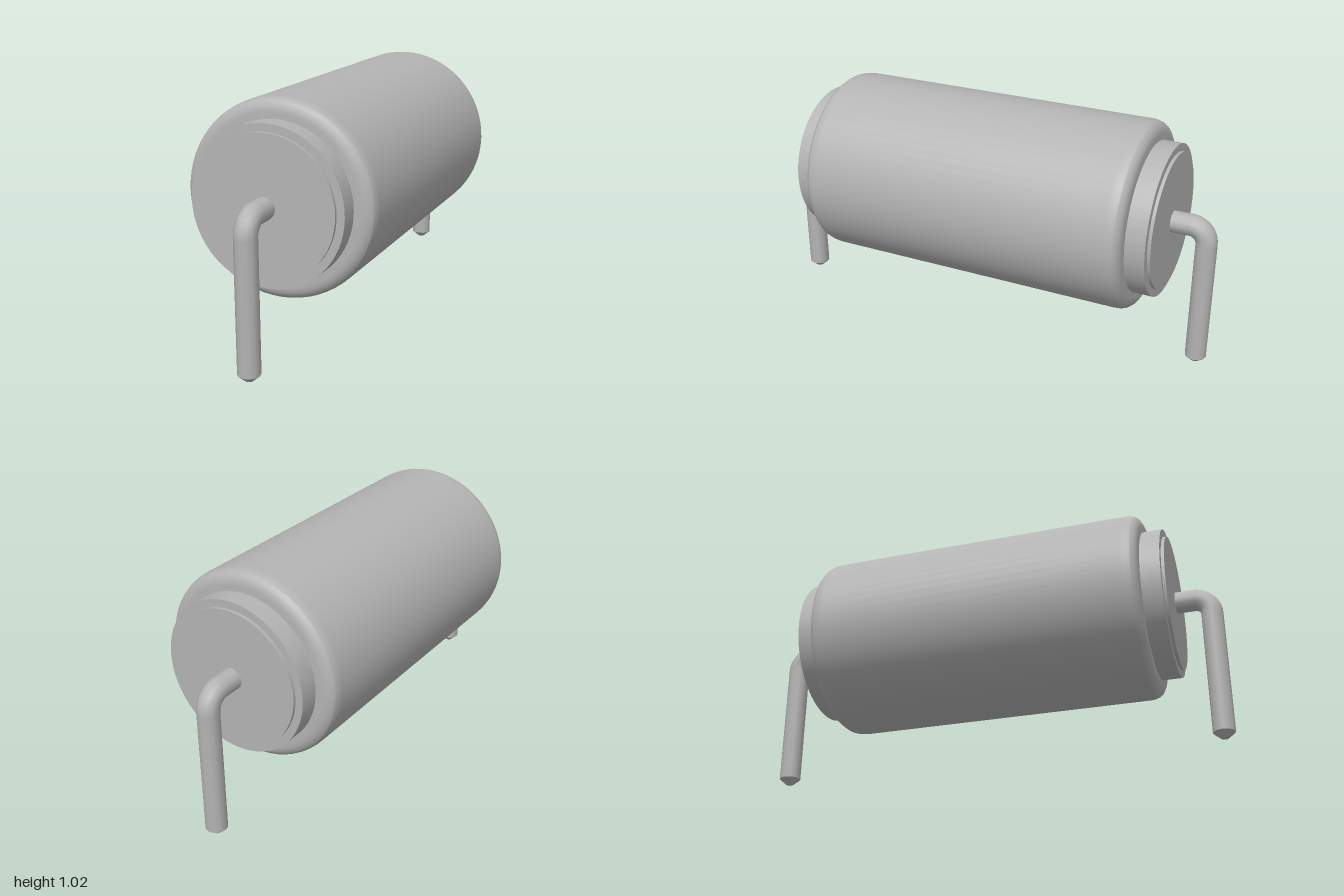
import * as THREE from 'three';

const AXIS_Y = 0.622;
const LEAD_R = 0.045;

export function createModel() {
  const model = new THREE.Group();
  model.name = 'axialComponent';
  const grey = new THREE.MeshStandardMaterial({ color: 0xb4b4b4 });
  grey.name = 'grey';

  const add = (parent, name, geometry) => {
    const mesh = new THREE.Mesh(geometry, grey);
    mesh.name = name;
    parent.add(mesh);
    return mesh;
  };

  // Surface of revolution along z, from [radius, z] pairs in rising z
  const turned = (profile) =>
    new THREE.LatheGeometry(profile.map(([r, z]) => new THREE.Vector2(r, z)), 64)
      .rotateX(Math.PI / 2)
      .translate(0, AXIS_Y, 0);

  // Solid disc along z between two depths
  const disc = (radius, z0, z1) =>
    new THREE.CylinderGeometry(radius, radius, z1 - z0, 64)
      .rotateX(Math.PI / 2)
      .translate(0, AXIS_Y, (z0 + z1) / 2);

  // Main barrel
  add(model, 'barrel', turned([
    [0.387, -0.69], [0.392, -0.675], [0.394, -0.655],
    [0.394, 0.655], [0.392, 0.675], [0.387, 0.69],
  ]));

  // Lead centreline: out of the cap, round the bend, straight down
  const path = new THREE.CurvePath();
  const v = (y, z) => new THREE.Vector3(0, y, z);
  const LEAD_Z = 1 - LEAD_R;
  const BEND = 0.07;
  const k = BEND * 0.448;
  path.add(new THREE.LineCurve3(v(AXIS_Y, 0.79), v(AXIS_Y, LEAD_Z - BEND)));
  path.add(new THREE.CubicBezierCurve3(
    v(AXIS_Y, LEAD_Z - BEND), v(AXIS_Y, LEAD_Z - k),
    v(AXIS_Y - k, LEAD_Z), v(AXIS_Y - BEND, LEAD_Z)));
  path.add(new THREE.LineCurve3(v(AXIS_Y - BEND, LEAD_Z), v(0.025, LEAD_Z)));

  // Both ends are the same, turned half way round
  for (const [name, turn] of [['frontEnd', 0], ['backEnd', Math.PI]]) {
    const end = new THREE.Group();
    end.name = name;
    end.rotation.y = turn;
    model.add(end);

    add(end, 'roundedShoulder', turned([
      [0.387, 0.69], [0.378, 0.702], [0.362, 0.711], [0.342, 0.715], [0.28, 0.715],
    ]));
    add(end, 'endCap', disc(0.316, 0.7, 0.797));
    add(end, 'capFace', disc(0.284, 0.79, 0.81));
    add(end, 'lead', new THREE.TubeGeometry(path, 56, LEAD_R, 12, false));
    add(end, 'leadTip', new THREE.CylinderGeometry(LEAD_R, 0.015, 0.025, 12)
      .translate(0, 0.0125, LEAD_Z));
  }
  return model;
}
